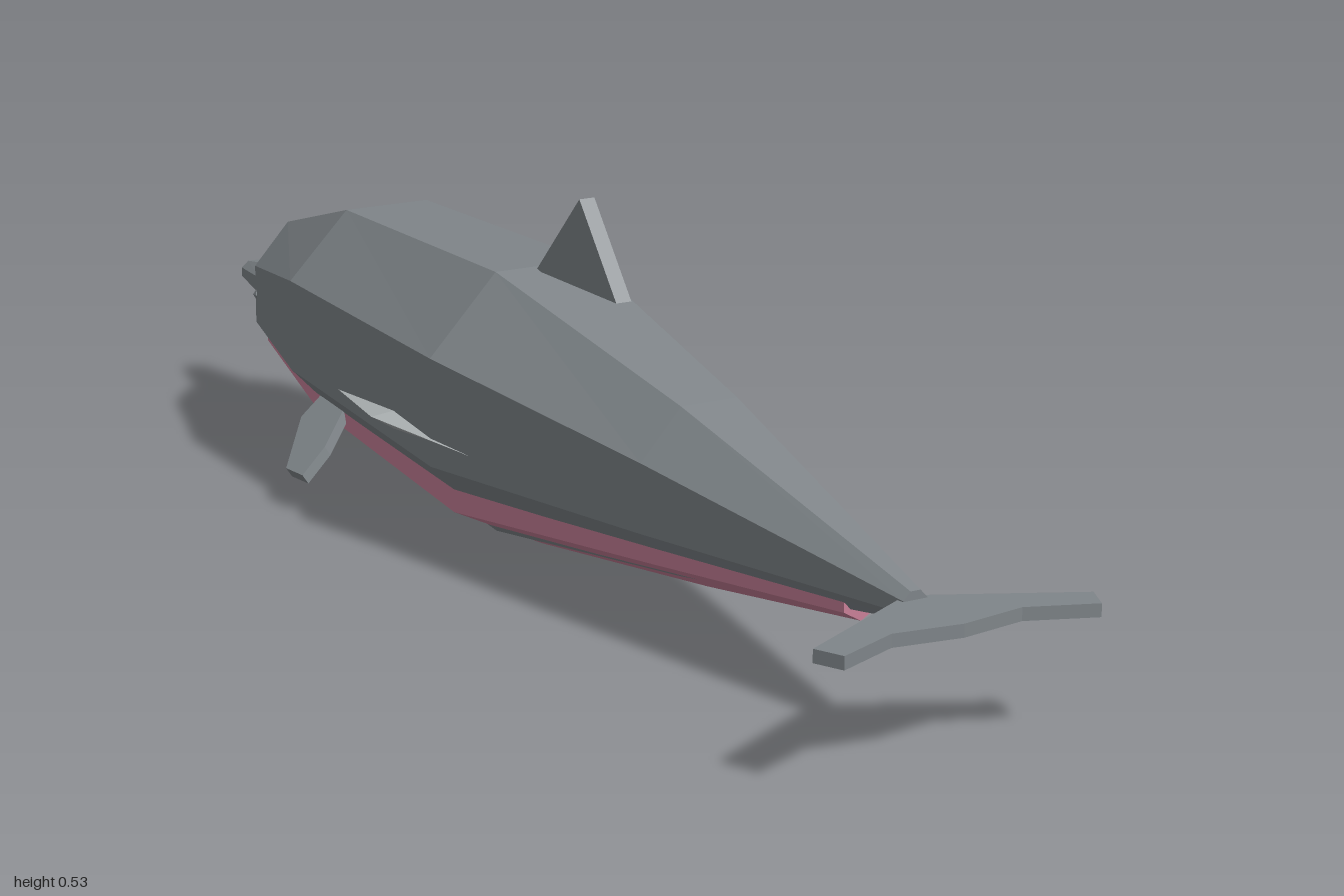
import * as THREE from 'three';

const skin = new THREE.MeshStandardMaterial({ color: 0x7f8589, flatShading: true });
skin.name = 'grey skin';
const pink = new THREE.MeshStandardMaterial({ color: 0xc98098, flatShading: true });
pink.name = 'pink belly';
const pale = new THREE.MeshStandardMaterial({ color: 0xa9aeaf, flatShading: true });
pale.name = 'pale grey flank';

// Loft of n-sided rings; each station is [z, centreY, radiusX, radiusY].
function loft(stations, n, startAngle) {
  const pos = [], idx = [];
  for (const [z, y, rx, ry] of stations) {
    for (let j = 0; j < n; j++) {
      const a = startAngle + (j / n) * Math.PI * 2;
      pos.push(rx * Math.cos(a), y + ry * Math.sin(a), z);
    }
  }
  const last = (stations.length - 1) * n;
  for (let i = 0; i < last; i += n) {
    for (let j = 0; j < n; j++) {
      const k = (j + 1) % n;
      idx.push(i + j, i + k, i + n + k, i + j, i + n + k, i + n + j);
    }
  }
  for (let j = 1; j < n - 1; j++) {
    idx.push(0, j + 1, j, last, last + j, last + j + 1);
  }
  const g = new THREE.BufferGeometry();
  g.setAttribute('position', new THREE.Float32BufferAttribute(pos, 3));
  g.setIndex(idx);
  g.computeVertexNormals();
  return g;
}

// Flat outline extruded to a plate centred on its own plane.
function plate(points, depth) {
  const shape = new THREE.Shape(points.map(([x, y]) => new THREE.Vector2(x, y)));
  const g = new THREE.ExtrudeGeometry(shape, { depth, bevelEnabled: false });
  return g.translate(0, 0, -depth / 2);
}

export function createModel() {
  const group = new THREE.Group();
  const add = (name, geometry, material, parent = group) => {
    const m = new THREE.Mesh(geometry, material);
    m.name = name;
    parent.add(m);
    return m;
  };

  // Eight-sided body, snout (-z) to tail stem; sizes are flat half-widths and heights
  const f = 1 / Math.cos(Math.PI / 8);
  const body = [
    [-1.0, 0.205, 0.02, 0.017],
    [-0.885, 0.208, 0.043, 0.033],
    [-0.78, 0.226, 0.1, 0.11],
    [-0.52, 0.2415, 0.165, 0.1685],
    [-0.045, 0.225, 0.181, 0.191],
    [0.4, 0.2075, 0.106, 0.1175],
    [0.875, 0.183, 0.018, 0.019],
  ].map(([z, y, w, h]) => [z, y, w * f, h * f]);
  add('body', loft(body, 8, Math.PI / 8), skin);

  // Six-sided belly with a keel
  const s = 1 / Math.cos(Math.PI / 6);
  const belly = [
    [-0.885, 0.188, 0.022, 0.02],
    [-0.78, 0.187, 0.08, 0.08],
    [-0.52, 0.17, 0.125, 0.125],
    [-0.045, 0.143, 0.144, 0.14],
    [0.4, 0.158, 0.085, 0.09],
    [0.76, 0.158, 0.026, 0.03],
  ].map(([z, y, w, h]) => [z, y, w * s, h]);
  add('belly', loft(belly, 6, -Math.PI / 2), pink);

  // Dorsal fin, outline in (z, y) turned to stand along the back
  const dorsal = plate([[-0.04, 0.412], [0.18, 0.412], [0.08, 0.538]].map(([z, y]) => [-z, y]), 0.024);
  add('dorsalFin', dorsal.rotateY(Math.PI / 2), skin);

  // Tail flukes, outline in (x, z)
  const half = [[0.02, 0.865], [0.208, 0.96], [0.19, 1.0], [0.097, 0.963]];
  const flukes = [...half, [0, 0.977], ...half.map(([x, z]) => [-x, z]).reverse()];
  add('tailFlukes', plate(flukes, 0.018).rotateX(Math.PI / 2).translate(0, 0.181, 0), skin);

  // Paired parts
  const flipper = plate([[-0.02, -0.5], [0.025, -0.49], [0.11, -0.4], [0.107, -0.35], [0.05, -0.37], [-0.02, -0.42]], 0.017)
    .rotateX(Math.PI / 2).rotateZ(-0.59).translate(0.14, 0.113, 0);
  const flank = new THREE.OctahedronGeometry(1)
    .scale(0.046, 0.017, 0.205).translate(0.167, 0.182, -0.165);
  // Lift the outer point of the flank diamond
  const p = flank.attributes.position;
  for (let i = 0; i < p.count; i++) if (p.getX(i) > 0.2) p.setY(i, 0.194);
  flank.computeVertexNormals();
  const eye = new THREE.IcosahedronGeometry(0.01, 0).translate(0.096, 0.226, -0.775);

  for (const [side, sx] of [['left', 1], ['right', -1]]) {
    const pair = new THREE.Group();
    pair.name = side + 'SideParts';
    pair.scale.x = sx;
    add('flipper', flipper, skin, pair);
    add('flankPatch', flank, pale, pair);
    add('eye', eye, skin, pair);
    group.add(pair);
  }
  return group;
}
